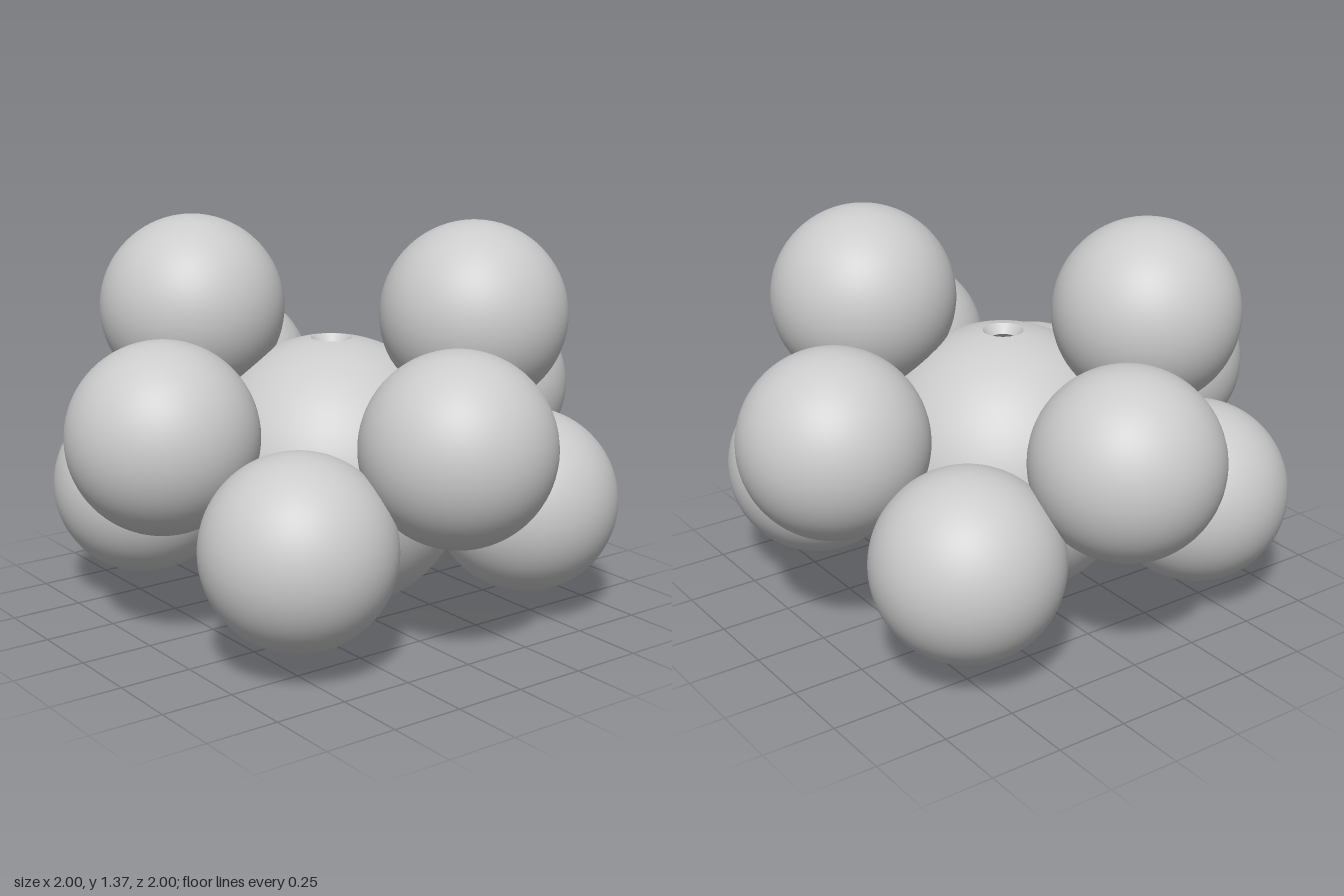
import * as THREE from 'three';

const BODY_RADIUS = 0.485;
const INNER_RADIUS = 0.45;
const BODY_Y = 0.505;
const KNOB_RADIUS = 0.32;

export function createModel() {
  const model = new THREE.Group();
  model.name = 'sphereCluster';
  const material = new THREE.MeshStandardMaterial({ color: 0xcccccc });

  // Point on a circle of radius r at distance x from the axis, above or below
  const onSphere = (r, x, sign) => new THREE.Vector2(x, sign * Math.sqrt(r * r - x * x));

  // Arc of a sphere from the bottom opening to the top opening
  function arc(r, bottomX, topX) {
    const start = -Math.acos(bottomX / r), end = Math.acos(topX / r);
    return Array.from({ length: 49 }, (_, i) => {
      const a = start + (end - start) * i / 48;
      return new THREE.Vector2(r * Math.cos(a), r * Math.sin(a));
    });
  }

  // Turn the lower half gradually so that the bottom opening sits at a tilt
  const tiltAxis = new THREE.Vector3(0.65, 0, -0.76).normalize();
  function tiltBottom(geometry) {
    const p = new THREE.Vector3(), n = new THREE.Vector3();
    const pos = geometry.attributes.position, nor = geometry.attributes.normal;
    for (let i = 0; i < pos.count; i++) {
      p.fromBufferAttribute(pos, i);
      n.fromBufferAttribute(nor, i);
      const angle = 0.2 * THREE.MathUtils.smoothstep(-p.y / p.length(), 0, 0.9);
      p.applyAxisAngle(tiltAxis, angle);
      n.applyAxisAngle(tiltAxis, angle);
      pos.setXYZ(i, p.x, p.y, p.z);
      nor.setXYZ(i, n.x, n.y, n.z);
    }
    return geometry;
  }

  // Hollow body: outer skin, two rims and inner skin
  const body = new THREE.Group();
  body.name = 'hollowBody';
  body.position.y = BODY_Y;
  const profiles = {
    outerShell: arc(BODY_RADIUS, 0.18, 0.07),
    topRim: [onSphere(BODY_RADIUS, 0.07, 1), onSphere(INNER_RADIUS, 0.045, 1)],
    innerShell: arc(INNER_RADIUS, 0.145, 0.045).reverse(),
    bottomRim: [onSphere(INNER_RADIUS, 0.145, -1), onSphere(BODY_RADIUS, 0.18, -1)],
  };
  for (const [name, points] of Object.entries(profiles)) {
    const mesh = new THREE.Mesh(tiltBottom(new THREE.LatheGeometry(points, 96)), material);
    mesh.name = name;
    body.add(mesh);
  }
  model.add(body);

  // Surrounding spheres in three tiers
  const knobGeometry = new THREE.SphereGeometry(KNOB_RADIUS, 64, 40);
  function addKnob(name, x, y, z) {
    const knob = new THREE.Mesh(knobGeometry, material);
    knob.name = name;
    knob.position.set(x, y, z);
    model.add(knob);
  }
  for (const s of [-1, 1]) {
    addKnob('upperSphere', s * 0.345, 1.08, -s * 0.345);
    addKnob('middleSphere', s * 0.68, 0.735, 0);
    addKnob('middleSphere', 0, 0.735, s * 0.68);
    for (const t of [-1, 1]) addKnob('lowerSphere', s * 0.48, 0.435, t * 0.48);
  }
  return model;
}
